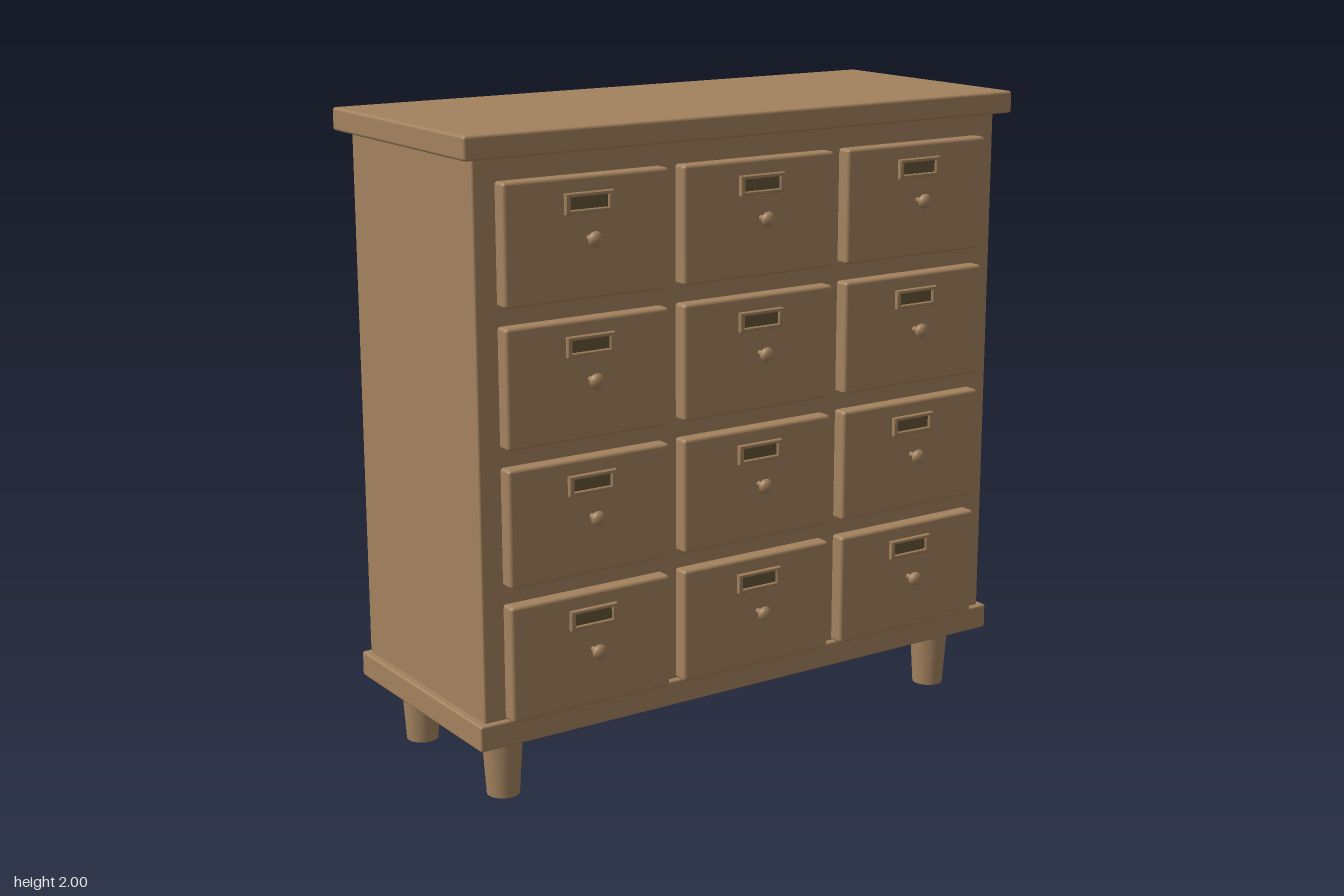
import * as THREE from 'three';
import { RoundedBoxGeometry } from 'three/addons/geometries/RoundedBoxGeometry.js';

export function createModel() {
  const model = new THREE.Group();
  model.name = 'drawerChest';

  const wood = new THREE.MeshStandardMaterial({ color: 0xa3825e });
  wood.name = 'brown wood';
  const dark = new THREE.MeshStandardMaterial({ color: 0x625236 });
  dark.name = 'dark olive label';

  const add = (parent, name, geometry, material, x = 0, y = 0, z = 0) => {
    const mesh = new THREE.Mesh(geometry, material);
    mesh.name = name;
    mesh.position.set(x, y, z);
    parent.add(mesh);
    return mesh;
  };

  // Softly rounded board given by its width and its y and z ranges
  const board = (name, width, y0, y1, z0, z1, radius) =>
    add(model, name, new RoundedBoxGeometry(width, y1 - y0, z1 - z0, 2, radius), wood,
      0, (y0 + y1) / 2, (z0 + z1) / 2);

  // Carcass
  board('cabinetBody', 1.888, 0.27, 1.94, -0.4, 0.338, 0.006);
  board('basePlinth', 1.934, 0.2, 0.28, -0.415, 0.355, 0.007);
  board('topBoard', 1.976, 1.93, 2, -0.438, 0.376, 0.009);

  // Tapered legs
  const legGeometry = new THREE.CylinderGeometry(0.063, 0.05, 0.2, 32);
  for (const x of [-0.827, 0.827]) {
    for (const z of [-0.288, 0.23]) add(model, 'leg', legGeometry, wood, x, 0.1, z);
  }

  // Knob with a thin stem, turned around z
  const knobProfile = [
    [0, 0], [0.008, 0], [0.008, 0.022], [0.013, 0.025], [0.021, 0.031], [0.0235, 0.037],
    [0.022, 0.043], [0.016, 0.049], [0.008, 0.052], [0, 0.053],
  ].map(([r, h]) => new THREE.Vector2(r, h));
  const knobGeometry = new THREE.LatheGeometry(knobProfile, 24).rotateX(Math.PI / 2);

  // Label frame: bevelled rectangle with an opening
  const rectangle = (path, w, h) => path
    .moveTo(-w / 2, -h / 2).lineTo(w / 2, -h / 2).lineTo(w / 2, h / 2).lineTo(-w / 2, h / 2).closePath();
  const frameShape = rectangle(new THREE.Shape(), 0.154, 0.054);
  frameShape.holes.push(rectangle(new THREE.Path(), 0.132, 0.042));
  const frameGeometry = new THREE.ExtrudeGeometry(frameShape, {
    depth: 0.009, bevelEnabled: true, bevelThickness: 0.003, bevelSize: 0.003, bevelSegments: 1,
  });
  const labelGeometry = new THREE.BoxGeometry(0.126, 0.036, 0.005);

  // Drawers: four rows of three, each with a front, knob and label holder
  const frontGeometry = new RoundedBoxGeometry(0.548, 0.354, 0.055, 2, 0.01);
  for (let row = 0; row < 4; row++) {
    for (let column = -1; column <= 1; column++) {
      const drawer = new THREE.Group();
      drawer.name = 'drawer';
      drawer.position.set(column * 0.6, 0.457 + row * 0.41, 0.385);
      add(drawer, 'drawerFront', frontGeometry, wood, 0, 0, -0.0275);
      add(drawer, 'knob', knobGeometry, wood, 0, 0, -0.001);
      add(drawer, 'labelFrame', frameGeometry, wood, 0, 0.102, 0);
      add(drawer, 'label', labelGeometry, dark, 0, 0.102, 0.002);
      model.add(drawer);
    }
  }
  return model;
}
